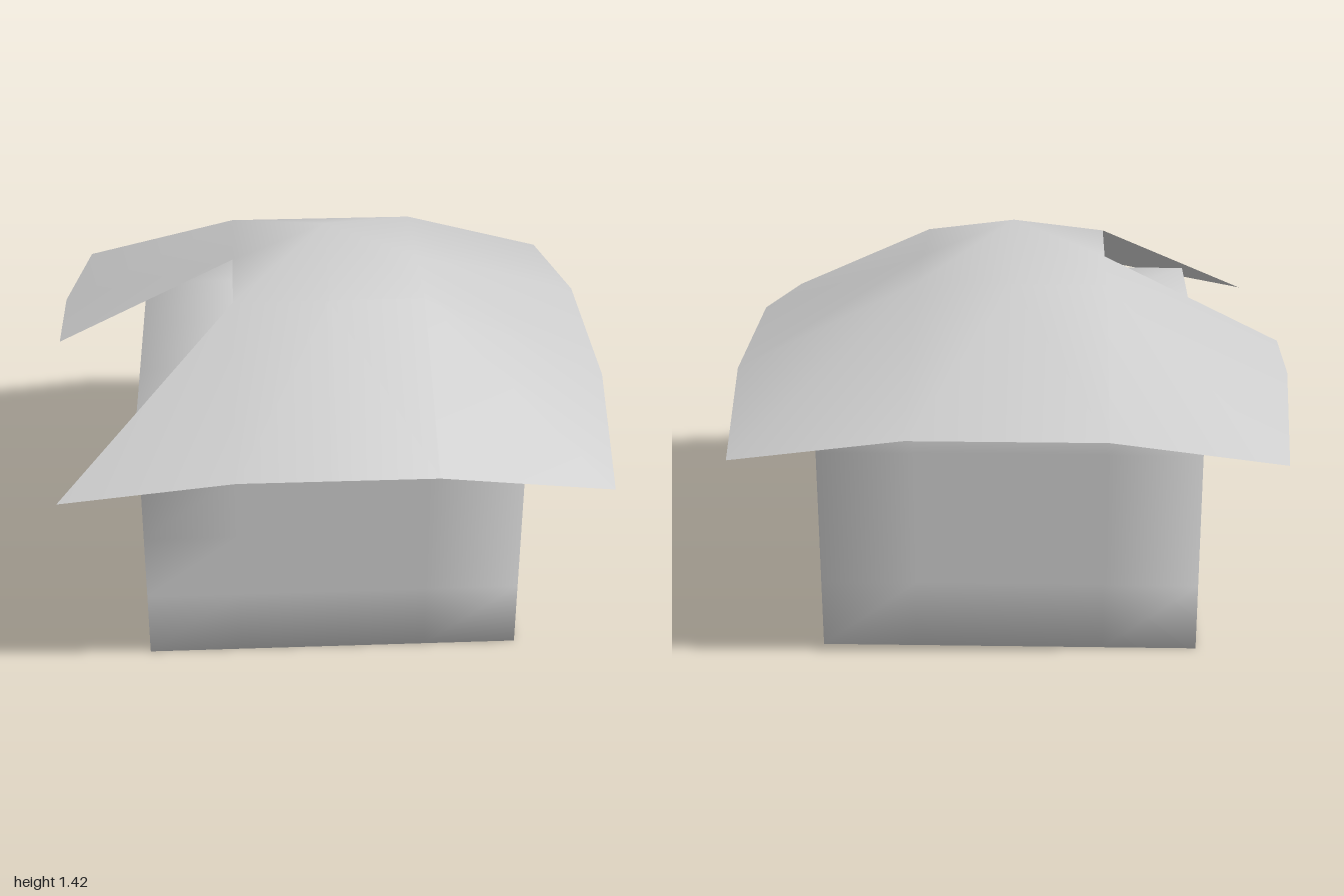
import * as THREE from 'three';
import { mergeVertices } from 'three/addons/utils/BufferGeometryUtils.js';

const material = new THREE.MeshStandardMaterial({ color: 0xcccccc, side: THREE.DoubleSide });

// Smooth box with one low opening in the right wall, front half
function createWalls() {
  const size = 1.36, height = 1.02;
  let geo = new THREE.BoxGeometry(size, height, size, 4, 4, 4);
  geo.translate(0, height / 2, 0);
  geo.deleteAttribute('uv');
  geo.deleteAttribute('normal');
  geo = mergeVertices(geo, 1e-4);

  const pos = geo.attributes.position;
  const kept = [];
  const center = new THREE.Vector3(), v = new THREE.Vector3();
  for (let t = 0; t < geo.index.count; t += 3) {
    const tri = [0, 1, 2].map((k) => geo.index.getX(t + k));
    center.set(0, 0, 0);
    tri.forEach((n) => center.add(v.fromBufferAttribute(pos, n)));
    center.divideScalar(3);
    const opening = center.x < -0.679 && center.y < height / 2 && center.z > 0;
    if (!opening) kept.push(...tri);
  }
  geo.setIndex(kept);
  geo.computeVertexNormals();
  const mesh = new THREE.Mesh(geo, material);
  mesh.name = 'walls';
  return mesh;
}

// Domed pyramid sheet on a 5 x 5 grid, with a broken-out patch at front right
function createRoof() {
  const steps = [-1, -0.34, 0, 0.34, 1];
  const points = [];
  for (let j = 0; j < 5; j++) {
    for (let i = 0; i < 5; i++) {
      const ring = Math.max(Math.abs(i - 2), Math.abs(j - 2));
      const corner = Math.abs(i - 2) === 2 && Math.abs(j - 2) === 2;
      const pull = corner ? 0.945 : 1;
      points.push(steps[i] * pull, corner ? 0.85 : [1.42, 1.28, 0.95][ring], steps[j] * pull);
    }
  }

  const index = [];
  for (let j = 0; j < 4; j++) {
    for (let i = 0; i < 4; i++) {
      const a = j * 5 + i, b = a + 1, c = a + 5, d = a + 6;
      // Diagonals radiate from the peak
      const sameSign = (i < 2) === (j < 2);
      const first = sameSign ? [a, c, d] : [a, c, b];
      const second = sameSign ? [a, d, b] : [b, c, d];
      // Missing side patch, and half of the corner cell next to it
      if (i === 0 && j === 2) continue;
      if (!(i === 0 && j === 3)) index.push(...first);
      index.push(...second);
    }
  }

  const geo = new THREE.BufferGeometry();
  geo.setAttribute('position', new THREE.Float32BufferAttribute(points, 3));
  geo.setIndex(index);
  geo.computeVertexNormals();
  const mesh = new THREE.Mesh(geo, material);
  mesh.name = 'roof';
  return mesh;
}

export function createModel() {
  const group = new THREE.Group();
  group.name = 'hut';
  group.add(createWalls(), createRoof());
  return group;
}
